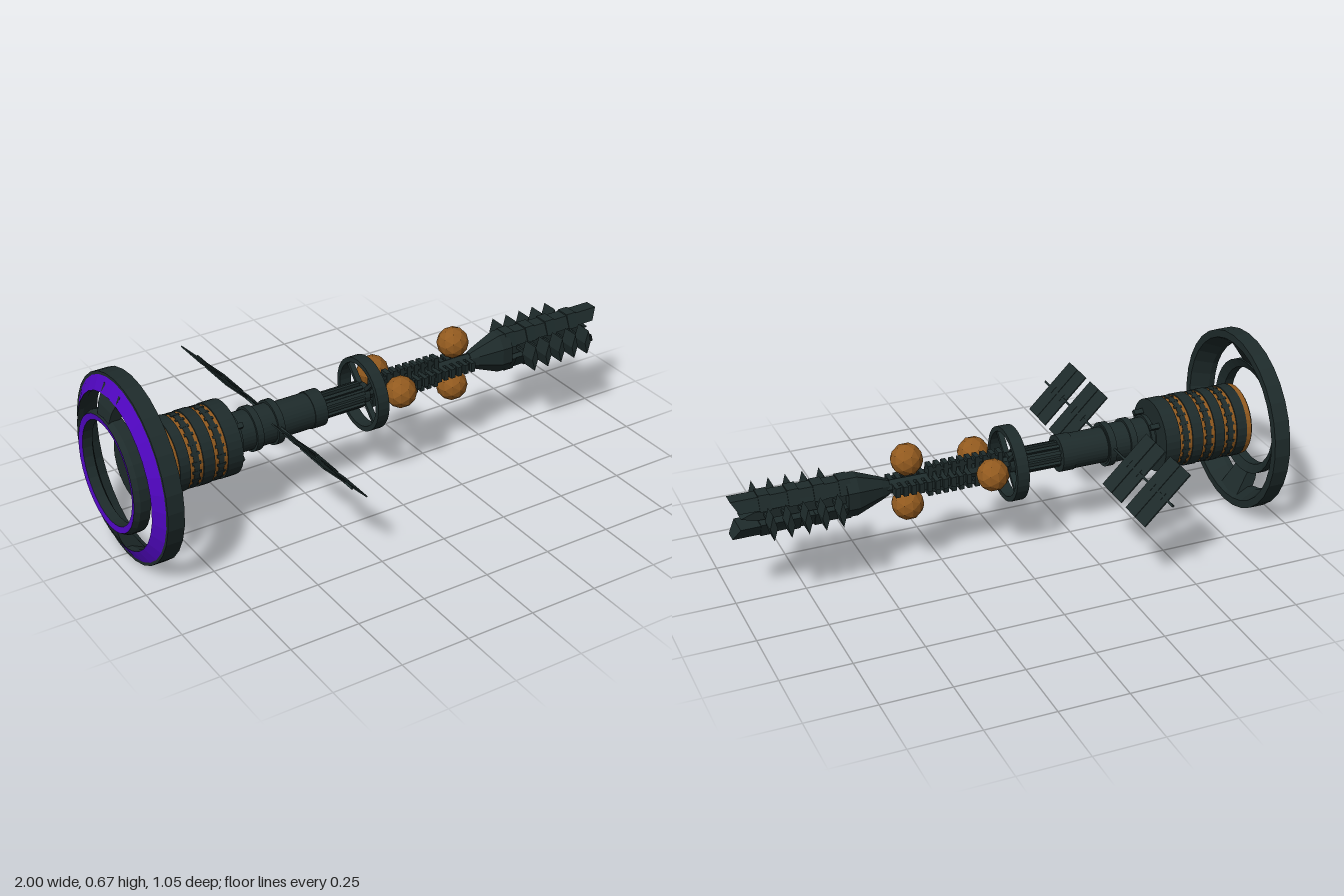
import * as THREE from 'three';

export function createModel() {
  const root = new THREE.Group();
  const ship = new THREE.Group();
  ship.name = 'spacecraft';
  ship.position.y = 0.334;
  root.add(ship);

  const hull = new THREE.MeshStandardMaterial({ color: 0x1e2b2b });
  hull.name = 'dark hull';
  const bronze = new THREE.MeshStandardMaterial({ color: 0x925a1f });
  bronze.name = 'bronze';
  const violet = new THREE.MeshStandardMaterial({ color: 0x5006c0 });
  violet.name = 'violet glow';

  // Adds a faceted mesh
  function add(name, geo, mat = hull, parent = ship) {
    const g = geo.index ? geo.toNonIndexed() : geo;
    g.computeVertexNormals();
    const m = new THREE.Mesh(g, mat);
    m.name = name;
    parent.add(m);
    return m;
  }
  // Revolves [x, radius] pairs around the long axis
  function turned(name, pts, mat = hull, seg = 32) {
    const geo = new THREE.LatheGeometry(pts.map(([x, r]) => new THREE.Vector2(r, x)), seg);
    return add(name, geo.rotateZ(-Math.PI / 2), mat);
  }
  const drum = (name, x0, x1, r, mat = hull, seg = 32) =>
    turned(name, [[x0, 0], [x0, r], [x1, r], [x1, 0]], mat, seg);
  const tube = (name, x0, x1, r, inner, mat = hull) =>
    turned(name, [[x0, inner], [x0, r], [x1, r], [x1, inner], [x0, inner]], mat);
  function box(name, w, h, d, x, y, z, parent = ship) {
    const m = add(name, new THREE.BoxGeometry(w, h, d), hull, parent);
    m.position.set(x, y, z);
    return m;
  }
  // Side profile in x,y extruded across z
  function prism(pts, depth) {
    const s = new THREE.Shape(pts.map(p => new THREE.Vector2(...p)));
    return new THREE.ExtrudeGeometry(s, { depth, bevelEnabled: false }).translate(0, 0, -depth / 2);
  }
  // Narrows or widens a geometry in z by a rule of y
  function taperZ(geo, rule) {
    const p = geo.attributes.position;
    for (let i = 0; i < p.count; i++) p.setZ(i, p.getZ(i) * rule(p.getY(i)));
    return geo;
  }

  // Engine rings: dark shells with glowing faces
  turned('outerEngineRing', [[-0.945, 0.322], [-0.945, 0.333], [-0.885, 0.333], [-0.885, 0.305], [-0.95, 0.275], [-0.972, 0.275]]);
  turned('outerGlow', [[-0.972, 0.275], [-0.945, 0.322]], violet);
  turned('innerEngineRing', [[-1, 0.205], [-0.982, 0.215], [-0.945, 0.215], [-0.96, 0.183], [-0.996, 0.183]]);
  turned('innerGlow', [[-0.996, 0.183], [-1, 0.205]], violet);
  for (const side of [0, 1]) {
    const spoke = prism([[-0.995, 0.2], [-0.96, 0.2], [-0.895, 0.305], [-0.955, 0.3], [-0.968, 0.277], [-0.985, 0.242]], 0.12);
    add('ringSpoke', taperZ(spoke, y => y / 0.3)).rotation.x = side * Math.PI;
  }

  // Engine drum: dark bands over a bronze core, ribbed channels between them
  drum('engineHub', -0.91, -0.88, 0.124);
  tube('bronzeLip', -0.905, -0.884, 0.13, 0.11, bronze);
  drum('bronzeCore', -0.88, -0.57, 0.128, bronze);
  for (const [a, b] of [[-0.885, -0.845], [-0.795, -0.757], [-0.708, -0.666], [-0.617, -0.56]])
    drum('drumBand', a, b, 0.133);
  for (const x of [-0.82, -0.732, -0.641]) {
    tube('channelRing', x - 0.01, x + 0.01, 0.131, 0.12);
    for (let i = 0; i < 24; i++) {
      const a = (i + 0.5) / 24 * Math.PI * 2;
      box('channelStud', 0.032, 0.01, 0.01, x, Math.cos(a) * 0.126, Math.sin(a) * 0.126).rotation.x = a;
    }
  }

  // Stepped neck and collars
  drum('neck', -0.57, -0.53, 0.055);
  for (let i = 0; i < 4; i++) {
    const a = (i + 0.5) * Math.PI / 2;
    box('neckClamp', 0.05, 0.018, 0.018, -0.55, Math.cos(a) * 0.092, Math.sin(a) * 0.092).rotation.x = a;
  }
  drum('neckSection', -0.545, -0.365, 0.071);
  for (const [a, b] of [[-0.545, -0.53], [-0.475, -0.45], [-0.392, -0.367]]) drum('neckCollar', a, b, 0.08);
  drum('midSection', -0.367, -0.19, 0.064);
  drum('midCollar', -0.24, -0.19, 0.067);
  drum('ribbedCore', -0.19, 0.0, 0.038, hull, 16);
  for (let i = 0; i < 12; i++) {
    const a = i / 12 * Math.PI * 2;
    box('coreRib', 0.17, 0.014, 0.012, -0.11, Math.cos(a) * 0.041, Math.sin(a) * 0.041).rotation.x = a;
  }

  // Open ring around the spine
  tube('spineRing', -0.03, 0.015, 0.135, 0.117);
  for (let i = 0; i < 4; i++) {
    const a = (i + 0.5) * Math.PI / 2;
    box('spineRingSpoke', 0.02, 0.1, 0.014, -0.008, Math.cos(a) * 0.075, Math.sin(a) * 0.075).rotation.x = a;
  }

  // Spine, rung stacks and fuel spheres
  drum('spine', 0, 0.48, 0.025, hull, 8);
  for (let i = 0; i < 10; i++) {
    box('uprightRung', 0.017, 0.116, 0.036, 0.03 + i * 0.029, 0, 0);
    box('crossRung', 0.017, 0.036, 0.116, 0.163 + i * 0.029, 0, 0);
  }
  for (const s of [-1, 1]) {
    box('uprightRail', 0.28, 0.014, 0.03, 0.16, s * 0.04, 0);
    box('crossRail', 0.28, 0.03, 0.014, 0.293, 0, s * 0.04);
    add('sideTank', new THREE.IcosahedronGeometry(0.058, 1), bronze).position.set(0.09, 0.018, s * 0.091);
    add('verticalTank', new THREE.IcosahedronGeometry(0.058, 1), bronze).position.set(0.371, 0.006 + s * 0.086, 0);
  }

  // Eight-sided head that widens toward the prongs
  const head = new THREE.LatheGeometry(
    [[0.44, 0], [0.44, 0.03], [0.47, 0.044], [0.56, 0.08], [0.6, 0.08], [0.6, 0]].map(([x, r]) => new THREE.Vector2(r, x)),
    8, Math.PI / 8).rotateZ(-Math.PI / 2);
  add('head', head.scale(1, 1, 0.75));

  // Upper and lower prongs with ribs and slanted tips
  for (const s of [0, 1]) {
    const prong = new THREE.Group();
    prong.name = s ? 'lowerProng' : 'upperProng';
    prong.rotation.x = s * Math.PI;
    ship.add(prong);
    const taper = y => (y > 0.05 ? 0.55 : 1);
    add('prongBody', taperZ(prism([[0.58, 0.025], [0.975, 0.03], [1, 0.071], [0.58, 0.071]], 0.088), taper), hull, prong);
    for (const x of [0.61, 0.7, 0.79, 0.89])
      add('prongRib', taperZ(prism([[x - 0.025, 0.025], [x + 0.015, 0.025], [x + 0.015, 0.076], [x - 0.025, 0.076]], 0.096), taper), hull, prong);
  }
  add('centreLance', prism([[0.58, -0.019], [0.92, -0.016], [0.967, 0], [0.92, 0.016], [0.58, 0.019]], 0.05));

  // Rows of diamond-section fins on both sides of the prongs
  for (let i = 0; i < 5; i++) for (const s of [-1, 1]) {
    const x = 0.645 + i * 0.06;
    box('finStem', 0.008, 0.012, 0.1, x, 0.004, s * 0.07);
    const fin = prism([[-0.013, 0], [0, -0.046], [0.013, 0], [0, 0.05]], 0.062);
    add('fin', fin).position.set(x, 0.002, s * 0.102);
  }

  // Tilted solar panels on a cross rod
  const array = new THREE.Group();
  array.name = 'solarArray';
  array.position.set(-0.382, 0.014, 0);
  array.rotation.z = -Math.PI / 4;
  ship.add(array);
  box('panelRod', 0.008, 0.008, 1.05, 0, 0, 0, array);
  for (const s of [-1, 1]) for (const z of [0.193, 0.268, 0.376, 0.45]) {
    for (const h of [-1, 1]) box('solarPanel', 0.113, 0.005, 0.071, h * 0.06, 0, s * z, array);
    box('panelClip', 0.03, 0.009, 0.014, 0, 0, s * z, array);
  }

  return root;
}
